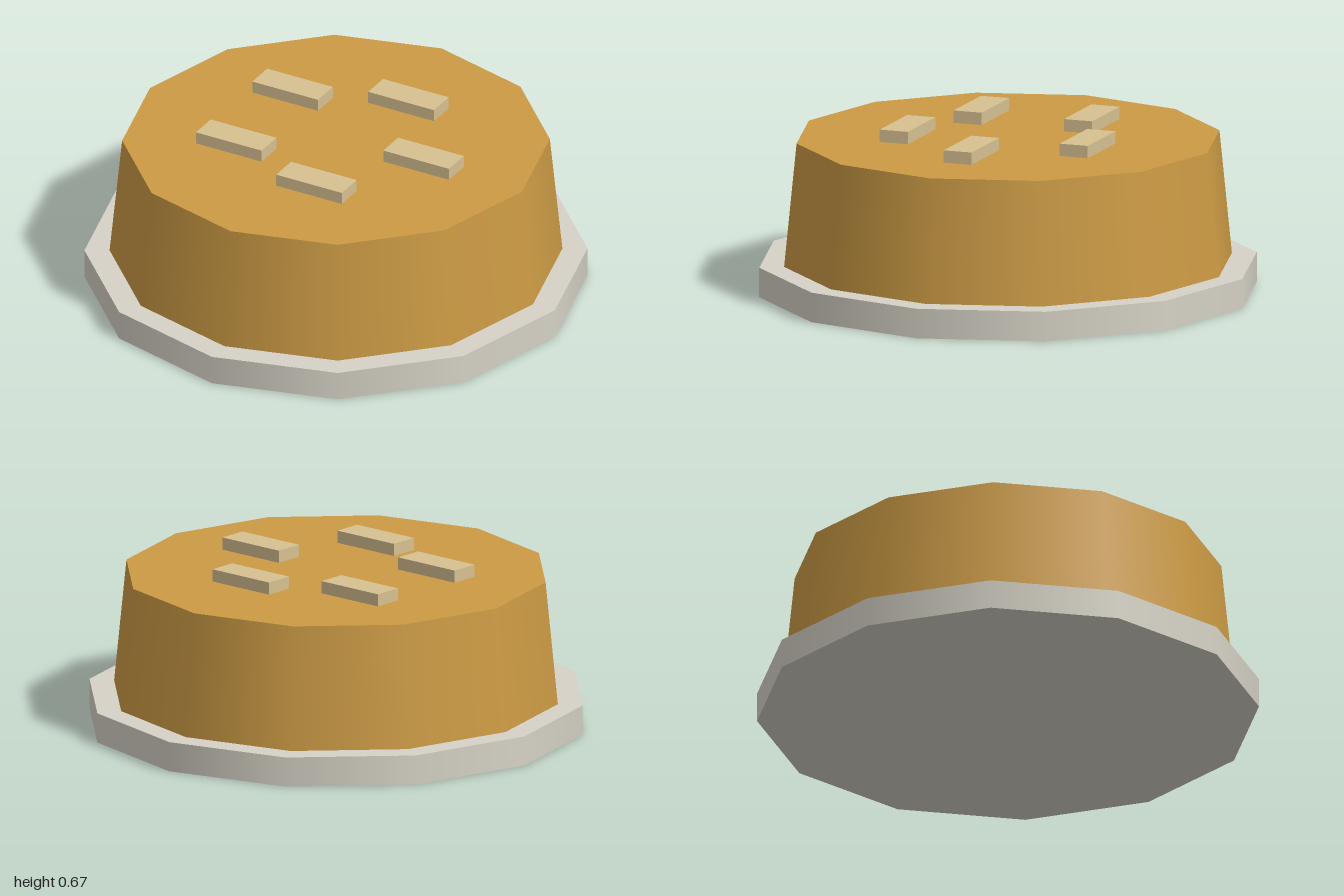
import * as THREE from 'three';

const material = (name, color) => {
  const m = new THREE.MeshStandardMaterial({ color });
  m.name = name;
  return m;
};

export function createModel() {
  const model = new THREE.Group();
  model.name = 'toppedCake';
  const plateGrey = material('plateGrey', 0xd6d2c6);
  const goldenCrust = material('goldenCrust', 0xcb9a44);
  const paleTopping = material('paleTopping', 0xd7c191);

  const add = (name, geometry, mat, x, y, z) => {
    const mesh = new THREE.Mesh(geometry, mat);
    mesh.name = name;
    mesh.position.set(x, y, z);
    model.add(mesh);
  };

  // Twelve-sided plate and tapered body
  add('plate', new THREE.CylinderGeometry(1, 1, 0.12, 12), plateGrey, 0, 0.06, 0);
  add('body', new THREE.CylinderGeometry(0.85, 0.9, 0.5, 12), goldenCrust, 0, 0.37, 0);

  // Ring of five parallel topping bars
  const bar = new THREE.BoxGeometry(0.3, 0.05, 0.12);
  for (let i = 0; i < 5; i++) {
    const a = i * 1.25;
    add(`toppingBar${i + 1}`, bar, paleTopping, 0.4 * Math.cos(a), 0.645, 0.4 * Math.sin(a));
  }
  return model;
}
